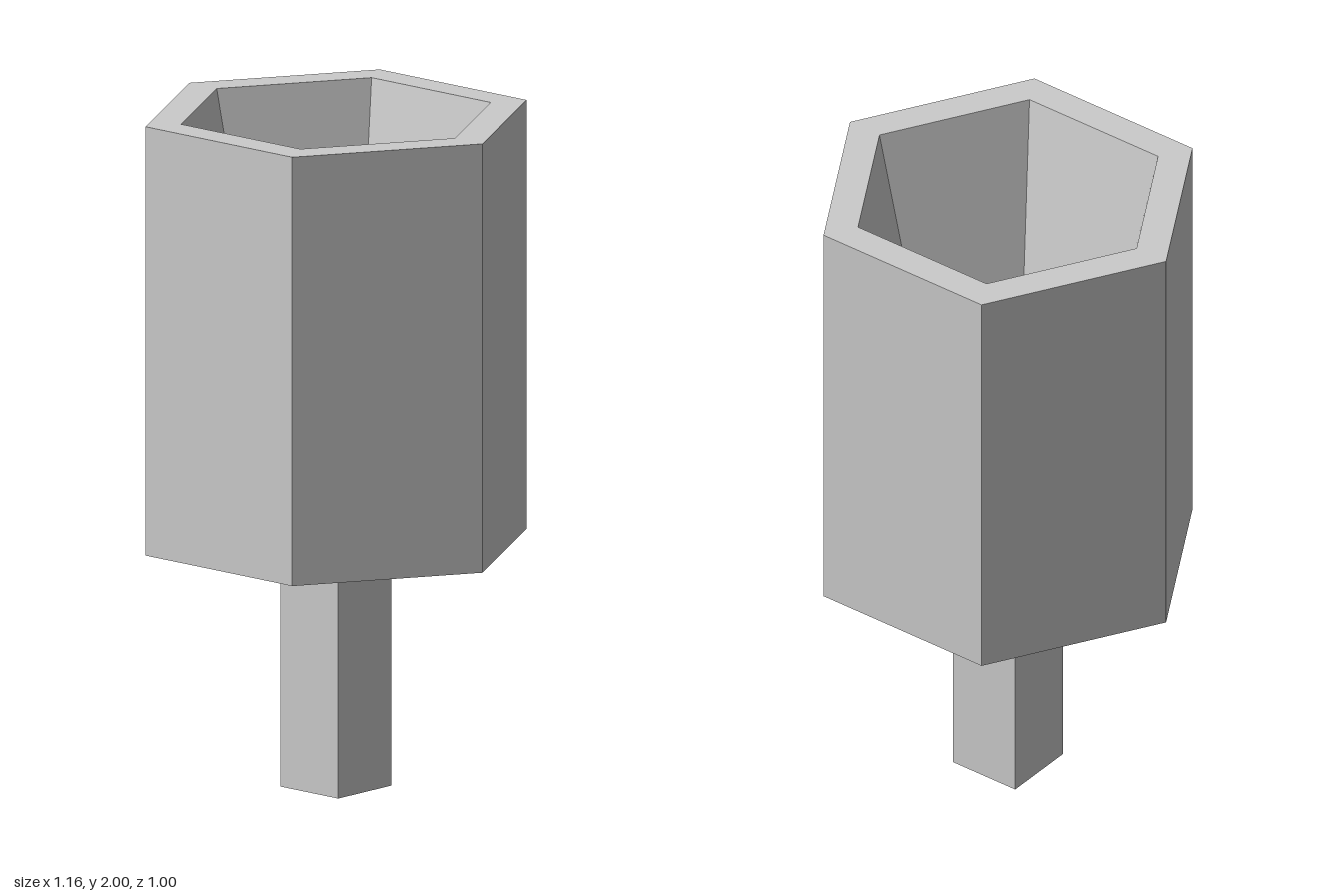
import * as THREE from 'three';

export function createModel() {
  const group = new THREE.Group();
  const baseY = 0.725, topY = 2, floorY = 1.2;

  // Hexagonal head with a tapered socket; corners point along x
  const profile = [
    [0, baseY], [0.578, baseY], [0.578, topY],
    [0.47, topY], [0.289, floorY], [0, floorY],
  ].map(([r, y]) => new THREE.Vector2(r, y));
  const head = new THREE.Mesh(
    new THREE.LatheGeometry(profile, 6, Math.PI / 2),
    new THREE.MeshStandardMaterial({ color: 0xcccccc, flatShading: true }),
  );
  head.name = 'hexagonalHead';

  // Square hollow stem, open at its lower end
  const stem = new THREE.Mesh(
    new THREE.CylinderGeometry(0.114 * Math.SQRT2, 0.114 * Math.SQRT2, baseY, 4, 1, true, Math.PI / 4),
    new THREE.MeshStandardMaterial({ color: 0xcccccc, flatShading: true, side: THREE.DoubleSide }),
  );
  stem.name = 'squareStem';
  stem.position.y = baseY / 2;

  group.add(head, stem);
  return group;
}
